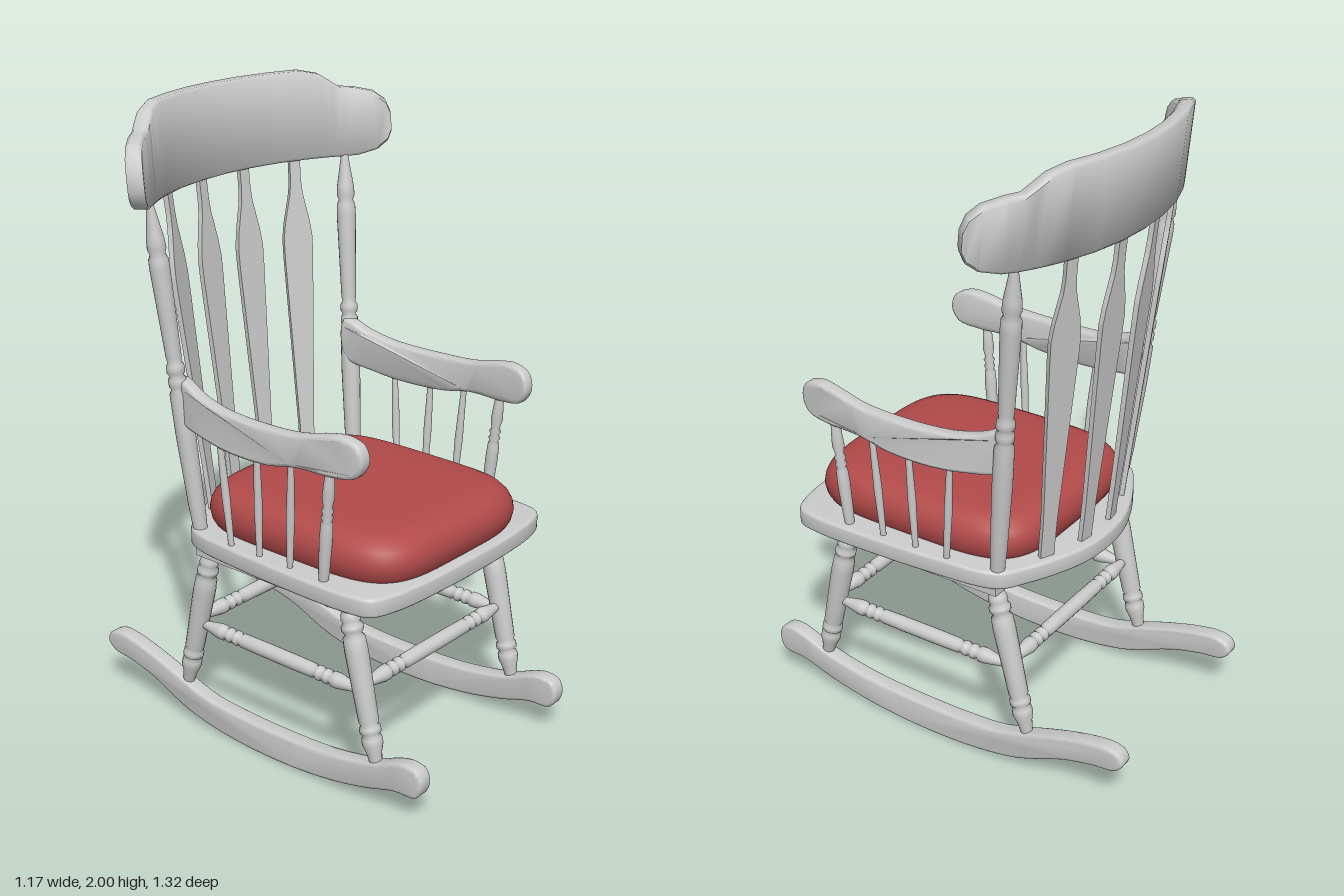
import * as THREE from 'three';
import { toCreasedNormals } from 'three/addons/utils/BufferGeometryUtils.js';

const wood = new THREE.MeshStandardMaterial({ color: 0xcccccc });
const fabric = new THREE.MeshStandardMaterial({ color: 0xb24a4a });
const V = (x, y, z) => new THREE.Vector3(x, y, z);

function part(group, name, geometry, material = wood) {
  const mesh = new THREE.Mesh(geometry, material);
  mesh.name = name;
  group.add(mesh);
  return mesh;
}

// Lathe-turned piece between two points; profile rows are [radius, fraction of length]
function turned(group, name, profile, from, to) {
  const dir = to.clone().sub(from);
  const length = dir.length();
  const pts = profile.map(([r, t]) => new THREE.Vector2(r, t * length));
  const mesh = part(group, name, new THREE.LatheGeometry(pts, 18));
  mesh.position.copy(from);
  mesh.quaternion.setFromUnitVectors(V(0, 1, 0), dir.normalize());
  return mesh;
}

// Profile mirrored about its middle, for stretchers
const symmetric = half => [...half, ...half.slice().reverse().map(([r, t]) => [r, 1 - t])];

// Slab with a smooth closed outline and softened edges
function slab(points, depth, bevel) {
  const curve = new THREE.CatmullRomCurve3(points.map(([a, b]) => V(a, b, 0)), true);
  const outline = curve.getPoints(points.length * 4).slice(0, -1);
  const shape = new THREE.Shape(outline.map(p => new THREE.Vector2(p.x, p.y)));
  const geo = new THREE.ExtrudeGeometry(shape, {
    depth: depth - 2 * bevel, bevelThickness: bevel, bevelSize: bevel, bevelOffset: -bevel, bevelSegments: 3,
  });
  return geo.translate(0, 0, bevel - depth / 2);
}

// Skin over closed rings of equal point count, capped at both ends
function loft(rings) {
  const n = rings[0].length, index = [];
  const verts = rings.flat();
  for (let i = 0; i < rings.length - 1; i++) {
    for (let j = 0; j < n; j++) {
      const a = i * n + j, b = i * n + (j + 1) % n;
      index.push(a, b, a + n, b, b + n, a + n);
    }
  }
  [0, rings.length - 1].forEach((i, end) => {
    const center = verts.length;
    verts.push(rings[i].reduce((s, p) => s.add(p), V(0, 0, 0)).divideScalar(n));
    for (let j = 0; j < n; j++) {
      const a = i * n + j, b = i * n + (j + 1) % n;
      index.push(center, end ? a : b, end ? b : a);
    }
  });
  const geo = new THREE.BufferGeometry().setFromPoints(verts);
  geo.setIndex(index);
  geo.computeVertexNormals();
  return geo;
}

// Bowed headrest: stations along x are [x, bottom, top]
function crestGeometry() {
  const half = [[0, 1.72, 2], [0.11, 1.72, 2], [0.22, 1.72, 2], [0.32, 1.72, 2], [0.38, 1.72, 1.985],
    [0.41, 1.72, 1.963], [0.44, 1.72, 1.94], [0.48, 1.722, 1.936], [0.53, 1.738, 1.922],
    [0.557, 1.765, 1.895], [0.567, 1.795, 1.86]];
  const stations = [...half.slice(1).reverse().map(([x, a, b]) => [-x, a, b]), ...half];
  const t = 0.024, c = 0.009;
  return toCreasedNormals(loft(stations.map(([x, lo, hi]) => {
    const slope = 1.1 * x + 1.8 * x ** 3;
    const normal = V(-slope, 0, 1).normalize();
    const section = [[hi, -t + c], [hi, t - c], [hi - c, t], [lo + c, t],
      [lo, t - c], [lo, -t + c], [lo + c, -t], [hi - c, -t]];
    return section.map(([y, d]) =>
      V(x, y, -0.46 + 0.55 * x ** 2 + 0.45 * x ** 4 - (y - 1.86) * 0.09).addScaledVector(normal, d));
  })), 0.85);
}

// Plump cushion from rounded-square rings: [scale, height]
function cushionGeometry() {
  const levels = [[0.95, 0.7], [0.985, 0.725], [1, 0.755], [0.99, 0.78], [0.965, 0.803], [0.92, 0.823],
    [0.85, 0.837], [0.74, 0.843], [0.5, 0.847], [0.2, 0.848]];
  const pow = v => Math.sign(v) * Math.abs(v) ** 0.45;
  return loft(levels.map(([s, y]) => Array.from({ length: 64 }, (_, j) => {
    const a = j / 64 * Math.PI * 2;
    return V(0.37 * s * pow(Math.sin(a)), y, 0.125 + 0.408 * s * pow(Math.cos(a)));
  })));
}

// Paddle-shaped back slat leaning from base to top, turned by the slope of the back
function slat(group, base, top, slope) {
  const up = top.clone().sub(base);
  const h = up.length();
  up.normalize();
  const side = [[0.024, 0], [0.025, 0.14], [0.049, 0.68], [0.05, 0.74], [0.043, 0.79], [0.022, 0.88], [0.018, 0.92], [0.018, 1]];
  const outline = [...side, ...side.slice().reverse().map(([w, t]) => [-w, t])];
  const shape = new THREE.Shape(outline.map(([w, t]) => new THREE.Vector2(w, t * h)));
  const geo = new THREE.ExtrudeGeometry(shape, { depth: 0.016, bevelEnabled: false }).translate(0, 0, -0.008);
  const mesh = part(group, 'backSlat', geo);
  const z = V(1, 0, slope).cross(up).normalize();
  mesh.quaternion.setFromRotationMatrix(new THREE.Matrix4().makeBasis(up.clone().cross(z), up, z));
  mesh.position.copy(base);
}

const legProfile = [[0.018, 0], [0.024, 0.08], [0.032, 0.13], [0.032, 0.17], [0.025, 0.19], [0.033, 0.205], [0.033, 0.235],
  [0.026, 0.25], [0.031, 0.27], [0.033, 0.45], [0.036, 0.7], [0.034, 0.78], [0.025, 0.8], [0.034, 0.825], [0.034, 0.85],
  [0.026, 0.87], [0.031, 0.89], [0.028, 0.92], [0.018, 0.96], [0.018, 1]];
const postProfile = [[0.022, 0], [0.026, 0.08], [0.031, 0.3], [0.03, 0.43], [0.022, 0.445], [0.028, 0.455], [0.028, 0.475],
  [0.021, 0.485], [0.028, 0.495], [0.028, 0.515], [0.021, 0.525], [0.024, 0.54], [0.031, 0.8], [0.03, 0.83],
  [0.023, 0.845], [0.029, 0.86], [0.027, 0.89], [0.012, 0.98], [0.012, 1]];
const stretcherProfile = symmetric([[0.012, 0], [0.015, 0.05], [0.025, 0.13], [0.025, 0.16], [0.017, 0.175], [0.024, 0.19],
  [0.024, 0.205], [0.017, 0.22], [0.024, 0.235], [0.024, 0.25], [0.017, 0.265], [0.023, 0.28], [0.024, 0.4]]);
const armPostProfile = [[0.014, 0], [0.017, 0.1], [0.02, 0.4], [0.018, 0.53], [0.013, 0.55], [0.019, 0.58], [0.013, 0.61],
  [0.019, 0.64], [0.013, 0.67], [0.019, 0.75], [0.016, 0.88], [0.011, 1]];
const spindleProfile = [[0.009, 0], [0.013, 0.5], [0.009, 1]];

// Outlines as [z, y]
const rockerOutline = [[0.66, 0.14], [0.645, 0.178], [0.6, 0.188], [0.55, 0.176], [0.48, 0.147], [0.3, 0.11], [0.1, 0.098],
  [-0.1, 0.1], [-0.22, 0.112], [-0.42, 0.175], [-0.53, 0.203], [-0.61, 0.212], [-0.65, 0.198], [-0.662, 0.168], [-0.635, 0.138],
  [-0.56, 0.127], [-0.45, 0.1], [-0.29, 0.036], [-0.12, 0.006], [0.1, 0], [0.3, 0.018], [0.45, 0.05], [0.56, 0.083], [0.64, 0.092]];
const armOutline = [[0.466, 1.11], [0.452, 1.158], [0.4, 1.178], [0.34, 1.172], [0.24, 1.15], [0.11, 1.142], [-0.07, 1.146],
  [-0.17, 1.166], [-0.26, 1.195], [-0.255, 1.065], [-0.14, 1.033], [-0.02, 1.021], [0.13, 1.027], [0.24, 1.048], [0.37, 1.05], [0.44, 1.064]];

export function createModel() {
  const chair = new THREE.Group();
  chair.name = 'rockingChair';

  // Seat board, outline as [x, z]
  const seatHalf = [[0.18, 0.55], [0.35, 0.53], [0.415, 0.5], [0.435, 0.43], [0.436, 0.15], [0.428, 0],
    [0.41, -0.18], [0.385, -0.24], [0.32, -0.285], [0.2, -0.345], [0.08, -0.38]];
  const seatOutline = [...seatHalf, ...seatHalf.slice().reverse().map(([x, z]) => [-x, z])];
  const seat = slab(seatOutline, 0.06, 0.01).rotateX(Math.PI / 2).translate(0, 0.68, 0);
  part(chair, 'seat', toCreasedNormals(seat, 0.7));
  part(chair, 'cushion', cushionGeometry(), fabric);
  part(chair, 'crestRail', crestGeometry());

  for (const s of [-1, 1]) {
    // Rocker, under-seat cleat and legs
    const rocker = slab(rockerOutline, 0.055, 0.01).rotateY(-Math.PI / 2).translate(s * 0.347, 0, 0);
    part(chair, 'rocker', toCreasedNormals(rocker, 0.7));
    part(chair, 'cleat', new THREE.BoxGeometry(0.078, 0.04, 0.61)).position.set(s * 0.347, 0.64, 0.085);
    turned(chair, 'frontLeg', legProfile, V(s * 0.347, 0.13, 0.475), V(s * 0.347, 0.64, 0.36));
    turned(chair, 'backLeg', legProfile, V(s * 0.347, 0.13, -0.31), V(s * 0.347, 0.64, -0.19));
    turned(chair, 'sideStretcher', stretcherProfile, V(s * 0.347, 0.36, -0.245), V(s * 0.347, 0.36, 0.415));

    // Back post and slats
    turned(chair, 'backPost', postProfile, V(s * 0.368, 0.7, -0.215), V(s * 0.437, 1.74, -0.318));
    slat(chair, V(s * 0.078, 0.7, -0.34), V(s * 0.094, 1.74, -0.448), s * 0.13);
    slat(chair, V(s * 0.227, 0.7, -0.295), V(s * 0.284, 1.74, -0.402), s * 0.45);

    // Armrest, bowed gently outward
    const arm = slab(armOutline, 0.046, 0.012).rotateY(-Math.PI / 2);
    const pos = arm.attributes.position;
    for (let i = 0; i < pos.count; i++) {
      pos.setX(i, pos.getX(i) + s * (0.415 - 0.2 * (pos.getZ(i) - 0.14) ** 2));
    }
    part(chair, 'armrest', toCreasedNormals(arm, 0.7));

    // Arm supports
    turned(chair, 'armPost', armPostProfile, V(s * 0.4, 0.7, 0.313), V(s * 0.41, 1.07, 0.347));
    for (const [z0, z1] of [[0.183, 0.203], [0.062, 0.07], [-0.053, -0.08]]) {
      turned(chair, 'armSpindle', spindleProfile, V(s * 0.4, 0.7, z0), V(s * 0.414, 1.05, z1));
    }
  }

  // Cross stretchers
  for (const [name, z] of [['frontStretcher', 0.42], ['backStretcher', -0.252]]) {
    turned(chair, name, stretcherProfile, V(-0.345, 0.378, z), V(0.345, 0.378, z));
  }
  return chair;
}
